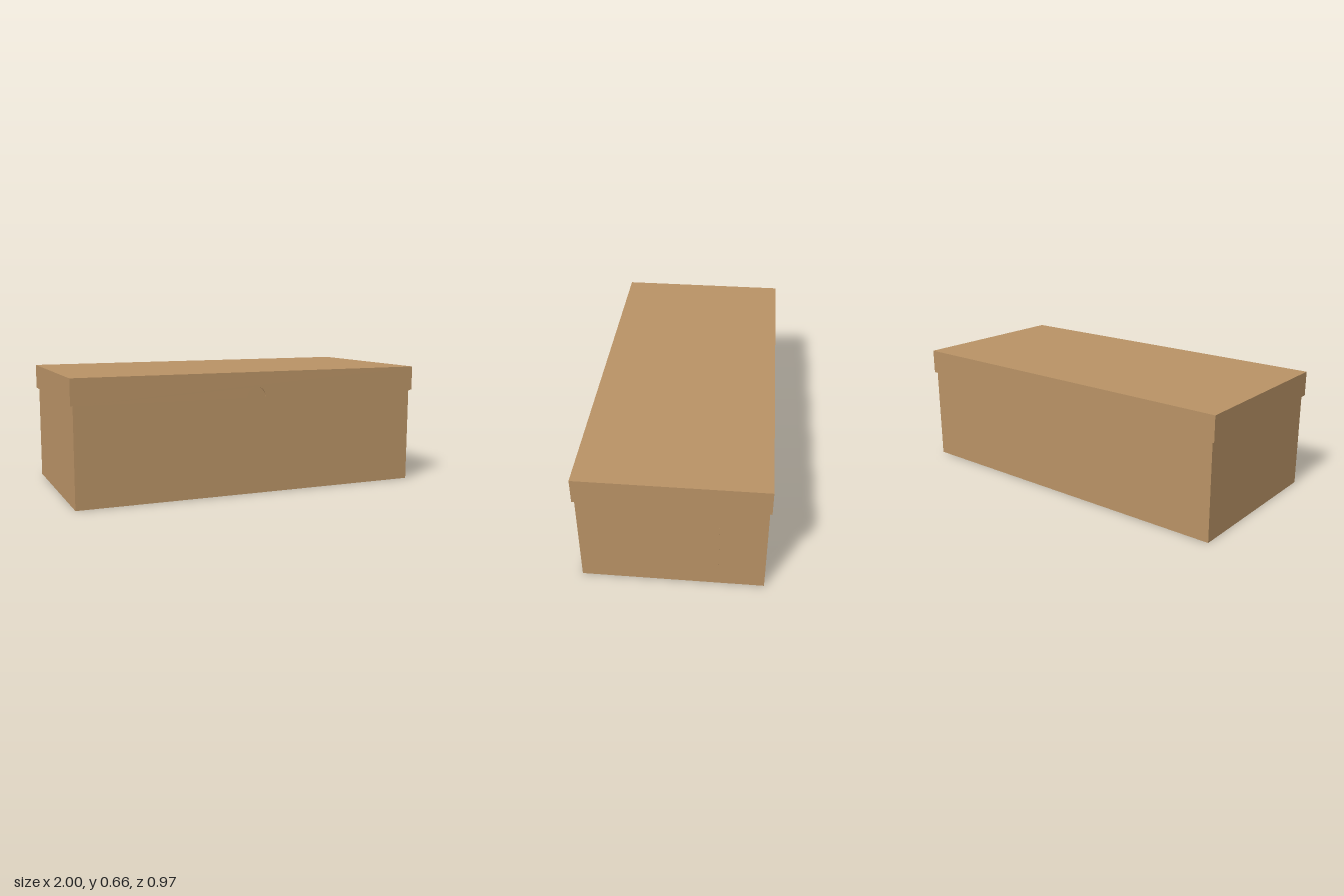
import * as THREE from 'three';

const card = new THREE.MeshStandardMaterial({ color: 0xb89265 });

// Cardboard panel spanning the given minimum and maximum corners
function panel(name, [x0, y0, z0], [x1, y1, z1]) {
  const mesh = new THREE.Mesh(new THREE.BoxGeometry(x1 - x0, y1 - y0, z1 - z0), card);
  mesh.name = name;
  mesh.position.set((x0 + x1) / 2, (y0 + y1) / 2, (z0 + z1) / 2);
  return mesh;
}

export function createModel() {
  const model = new THREE.Group();
  model.name = 'cardboardBox';

  // Open tray: floor, long walls set between the end walls
  const tray = new THREE.Group();
  tray.name = 'tray';
  tray.add(
    panel('floor', [-0.975, 0, -0.463], [0.975, 0.01, 0.465]),
    panel('frontWall', [-0.975, 0, 0.465], [0.975, 0.65, 0.475]),
    panel('backWall', [-0.975, 0, -0.473], [0.975, 0.65, -0.463]),
    panel('leftWall', [0.975, 0, -0.473], [0.986, 0.65, 0.475]),
    panel('rightWall', [-0.986, 0, -0.473], [-0.975, 0.65, 0.475]),
    // Thin raised seam where the end flap closes
    panel('seam', [0.984, 0.1, -0.236], [0.988, 0.4, -0.233])
  );
  model.add(tray);

  // Lid: top sheet with a skirt hanging over the tray
  const lid = new THREE.Group();
  lid.name = 'lid';
  const low = 0.527, high = 0.654;
  lid.add(
    panel('lidTop', [-1, high, -0.483], [1, 0.663, 0.485]),
    panel('lidBack', [-0.99, low, -0.483], [0.99, high, -0.475]),
    panel('lidLeft', [0.99, low, -0.483], [1, high, 0.485]),
    panel('lidRight', [-1, low, -0.483], [-0.99, high, 0.485])
  );

  // Front skirt with a half-round thumb notch
  const skirt = new THREE.Shape();
  skirt.moveTo(-0.99, low);
  skirt.lineTo(-0.056, low);
  skirt.absarc(0, low, 0.056, Math.PI, 0, true);
  skirt.lineTo(0.99, low);
  skirt.lineTo(0.99, high);
  skirt.lineTo(-0.99, high);
  skirt.closePath();
  const front = new THREE.Mesh(
    new THREE.ExtrudeGeometry(skirt, { depth: 0.008, bevelEnabled: false, curveSegments: 16 }),
    card
  );
  front.name = 'lidFront';
  front.position.z = 0.477;
  lid.add(front);
  model.add(lid);

  return model;
}
